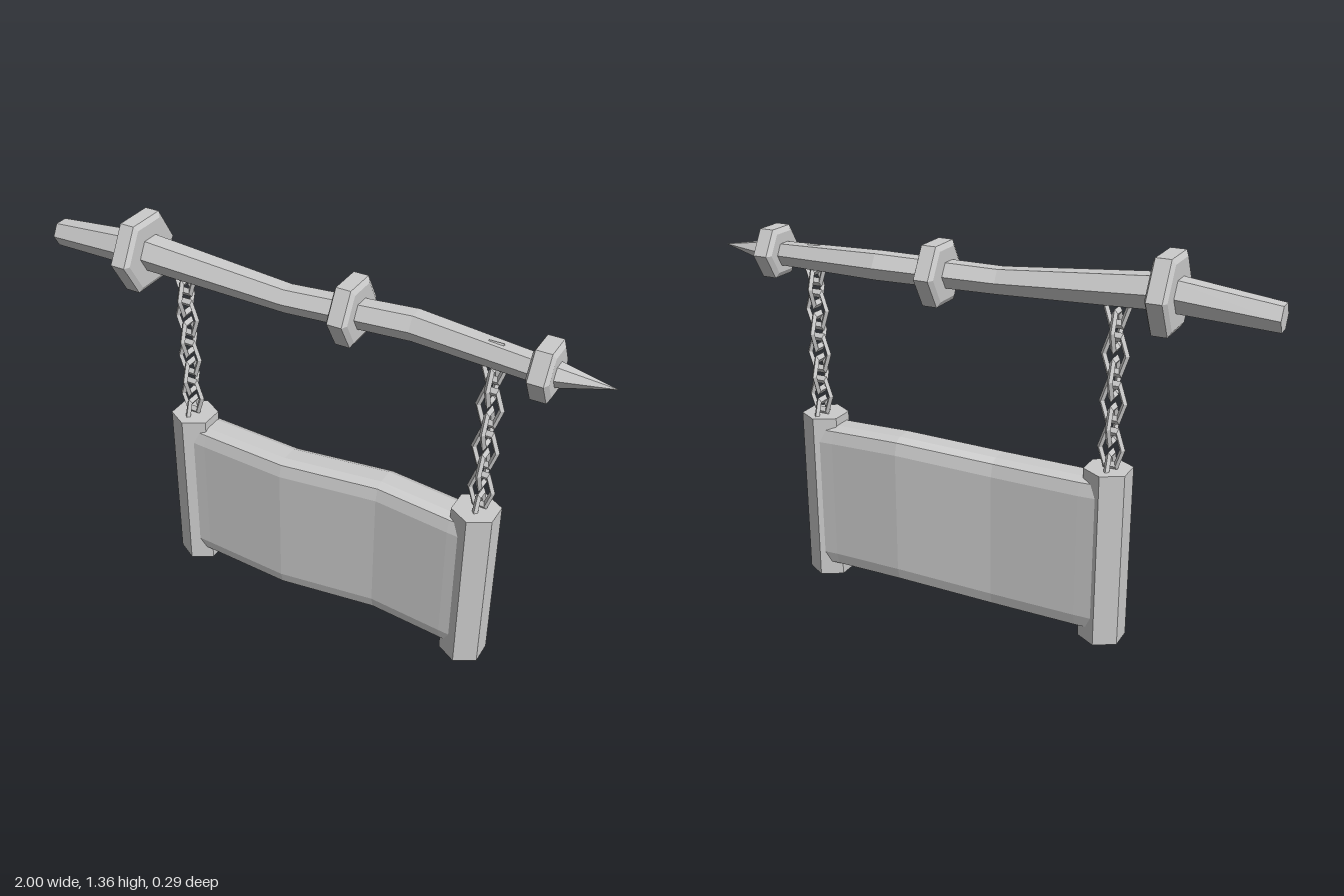
import * as THREE from 'three';

const material = new THREE.MeshStandardMaterial({ color: 0xcccccc, flatShading: true });

function addMesh(parent, name, geometry) {
  const mesh = new THREE.Mesh(geometry, material);
  mesh.name = name;
  parent.add(mesh);
  return mesh;
}

// Skins a row of equal-sized rings running along +x and closes both ends.
function loft(rings) {
  const out = [];
  const tri = (...points) => points.forEach((p) => out.push(...p));
  const n = rings[0].length;
  for (let i = 0; i < rings.length - 1; i++) {
    for (let j = 0; j < n; j++) {
      const k = (j + 1) % n;
      const [a, b, c, d] = [rings[i][j], rings[i][k], rings[i + 1][k], rings[i + 1][j]];
      tri(a, b, c);
      tri(a, c, d);
    }
  }
  const first = rings[0], last = rings[rings.length - 1];
  for (let j = 1; j < n - 1; j++) {
    tri(first[0], first[j + 1], first[j]);
    tri(last[0], last[j], last[j + 1]);
  }
  const geometry = new THREE.BufferGeometry();
  geometry.setAttribute('position', new THREE.Float32BufferAttribute(out, 3));
  geometry.computeVertexNormals();
  return geometry;
}

// Six-sided ring across x, flat on top and bottom.
function hexRing(x, y, z, r) {
  return Array.from({ length: 6 }, (_, j) => {
    const a = (j * Math.PI) / 3;
    return [x, y - r * Math.sin(a), z + r * Math.cos(a)];
  });
}

// Panel cross-section with bevelled top and bottom edges.
function panelRing(x, bottom, top, z) {
  const corner = [[0.03, 0], [0.057, 0.014], [0.069, 0.058]]; // half depth, inset from edge
  const front = [
    ...corner.map(([d, inset]) => [d, top - inset]),
    ...corner.slice().reverse().map(([d, inset]) => [d, bottom + inset]),
  ];
  const back = front.slice().reverse().map(([d, y]) => [-d, y]);
  return [...front, ...back].map(([d, y]) => [x, y, z + d]);
}

export function createModel() {
  const model = new THREE.Group();
  model.name = 'hangingSign';

  // Crooked pole: x, y, z, radius
  const poleSections = [
    [-1, 1.213, -0.015, 0.047],
    [-0.62, 1.241, 0, 0.062],
    [-0.08, 1.209, -0.008, 0.048],
    [0.35, 1.217, -0.048, 0.052],
    [0.79, 1.205, -0.018, 0.043],
    [0.82, 1.206, -0.018, 0.041],
  ];
  addMesh(model, 'pole', loft(poleSections.map((s) => hexRing(...s))));

  // Pointed tip
  addMesh(model, 'poleTip', loft([hexRing(0.82, 1.206, -0.018, 0.041), hexRing(1, 1.212, -0.02, 0.001)]));

  // Chamfered collars: x, y, z, radius
  const collars = [
    [-0.642, 1.239, 0, 0.14],
    [0.135, 1.215, -0.035, 0.117],
    [0.787, 1.212, -0.02, 0.098],
  ];
  for (const [x, y, z, r] of collars) {
    const profile = [[-0.036, r - 0.02], [-0.026, r], [0.026, r], [0.036, r - 0.02]];
    addMesh(model, 'collar', loft(profile.map(([dx, radius]) => hexRing(x + dx, y, z, radius))));
  }

  // Hexagonal posts, with an edge to the front and back
  for (const x of [-0.478, 0.62]) {
    const post = addMesh(model, 'post', new THREE.CylinderGeometry(0.083, 0.083, 0.63, 6));
    post.position.set(x, 0.315, -0.011);
  }

  // Wavy board held between the posts: x, bottom, top, z
  const panelSections = [
    [-0.47, 0.037, 0.602, -0.016],
    [-0.4, 0.035, 0.599, -0.015],
    [-0.08, 0.028, 0.595, -0.003],
    [0.28, 0.05, 0.614, -0.03],
    [0.55, 0.04, 0.601, -0.016],
    [0.61, 0.037, 0.598, -0.015],
  ];
  addMesh(model, 'signPanel', loft(panelSections.map((s) => panelRing(...s))));

  // Two chains of long six-sided links, turned alternately
  const linkGeometry = new THREE.TorusGeometry(0.039, 0.01, 4, 6);
  for (const [x, z] of [[-0.484, -0.012], [0.624, -0.024]]) {
    const chain = new THREE.Group();
    chain.name = 'chain';
    for (let i = 0; i < 8; i++) {
      const link = addMesh(chain, 'chainLink', linkGeometry);
      link.position.set(x, 1.18 - i * 0.08, z);
      link.scale.y = 1.75;
      link.rotation.y = (i % 2) * (Math.PI / 2);
    }
    model.add(chain);
  }

  return model;
}
